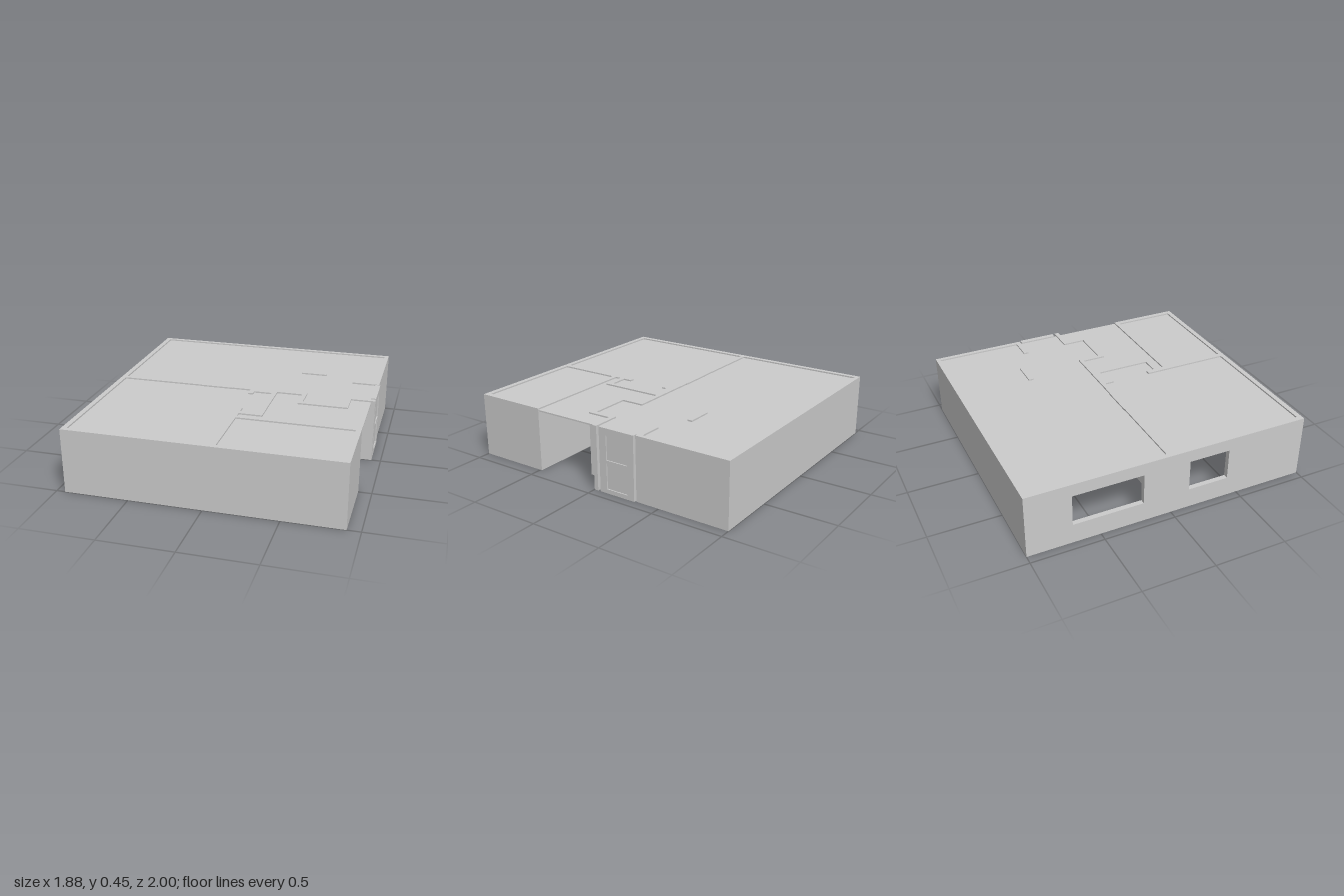
import * as THREE from 'three';

const H = 0.447; // wall height
const mat = new THREE.MeshStandardMaterial({ color: 0xcccccc, flatShading: true });

// box from plan limits and heights
function block(name, x0, x1, z0, z1, y0 = 0, y1 = H) {
  const g = new THREE.BoxGeometry(x1 - x0, y1 - y0, z1 - z0);
  g.translate((x0 + x1) / 2, (y0 + y1) / 2, (z0 + z1) / 2);
  const m = new THREE.Mesh(g, mat);
  m.name = name;
  return m;
}

// upright slab with rectangular holes [u0, u1, y0, y1], lying in the xy plane
function pierced(name, u0, u1, depth, holes) {
  const rect = (P, a, b, c, d) => {
    const p = new P();
    p.moveTo(a, c); p.lineTo(b, c); p.lineTo(b, d); p.lineTo(a, d); p.closePath();
    return p;
  };
  const s = rect(THREE.Shape, u0, u1, 0, H);
  for (const [a, b, c, d] of holes) s.holes.push(rect(THREE.Path, a, b, c, d));
  const m = new THREE.Mesh(new THREE.ExtrudeGeometry(s, { depth, bevelEnabled: false }), mat);
  m.name = name;
  return m;
}

// door leaf with two recessed panels, centred on its own origin
function door(name, width) {
  const g = new THREE.Group();
  g.name = name;
  const w = width * 0.3;
  const leaf = pierced('doorFrame', -width / 2, width / 2, 0.036, [[-w, w, 0.03, 0.21], [-w, w, 0.23, 0.4]]);
  leaf.position.z = -0.018;
  g.add(leaf, block('doorPanels', -w, w, -0.01, 0.01, 0.03, 0.4));
  return g;
}

export function createModel() {
  const house = new THREE.Group();
  house.name = 'house';

  // ceiling slab, slightly below the wall tops
  house.add(block('ceiling', -0.93, 0.908, -0.99, 0.99, 0.427, 0.437));

  // straight walls: name, x0, x1, z0, z1
  const walls = [
    ['frontWall', -0.94, 0.91, 0.965, 1],
    ['backWall', -0.94, 0.925, -1, -0.97],
    ['kitchenSideWall', 0.895, 0.925, -0.97, -0.33],
    ['entryWall', 0.73, 0.895, -0.365, -0.33],
    ['shortWall', 0.335, 0.52, -0.475, -0.44],
    ['middleWall', -0.905, -0.32, -0.03, 0],
    ['middleWall', -0.08, 0.455, -0.03, 0],
    ['nicheSideWall', 0.425, 0.455, 0, 0.165],
    ['nicheBackWall', 0.455, 0.735, 0.13, 0.165],
    ['nicheSideWall', 0.735, 0.77, -0.03, 0.165],
    ['entryWall', 0.77, 0.935, -0.03, 0],
    ['closetBackWall', 0.05, 0.245, 0, 0.03],
    ['closetStub', 0.05, 0.085, 0.03, 0.07],
    ['closetSideWall', 0.21, 0.245, 0.03, 0.445],
    ['closetEndWall', 0.085, 0.21, 0.41, 0.445],
    ['bedroomWall', 0.05, 0.085, 0.35, 0.7],
    ['bedroomWall', 0.05, 0.085, 0.94, 0.965],
    ['bedroomBackWall', 0.085, 0.91, 0.487, 0.52],
    ['bedroomSideWall', 0.875, 0.91, 0.52, 0.965],
  ];
  for (const w of walls) house.add(block(...w));
  // partition that stops at the ceiling
  house.add(block('partition', 0.34, 0.44, -0.97, -0.475, 0, 0.436));

  // side wall with two windows
  const windowWall = pierced('windowWall', -0.965, 0.97, 0.035, [[0.2, 0.69, 0.14, 0.36], [-0.42, -0.13, 0.14, 0.36]]);
  windowWall.rotation.y = Math.PI / 2;
  windowWall.position.x = -0.94;
  house.add(windowWall);

  // doors
  const entry = door('entryDoor', 0.27);
  entry.rotation.y = Math.PI / 2;
  entry.position.set(0.917, 0, -0.185);
  const hall = door('middleDoor', 0.24);
  hall.position.set(-0.2, 0, -0.015);
  const bedroom = door('bedroomDoor', 0.24);
  bedroom.rotation.y = Math.PI / 2;
  bedroom.position.set(0.0675, 0, 0.82);
  house.add(entry, hall, bedroom);
  return house;
}
